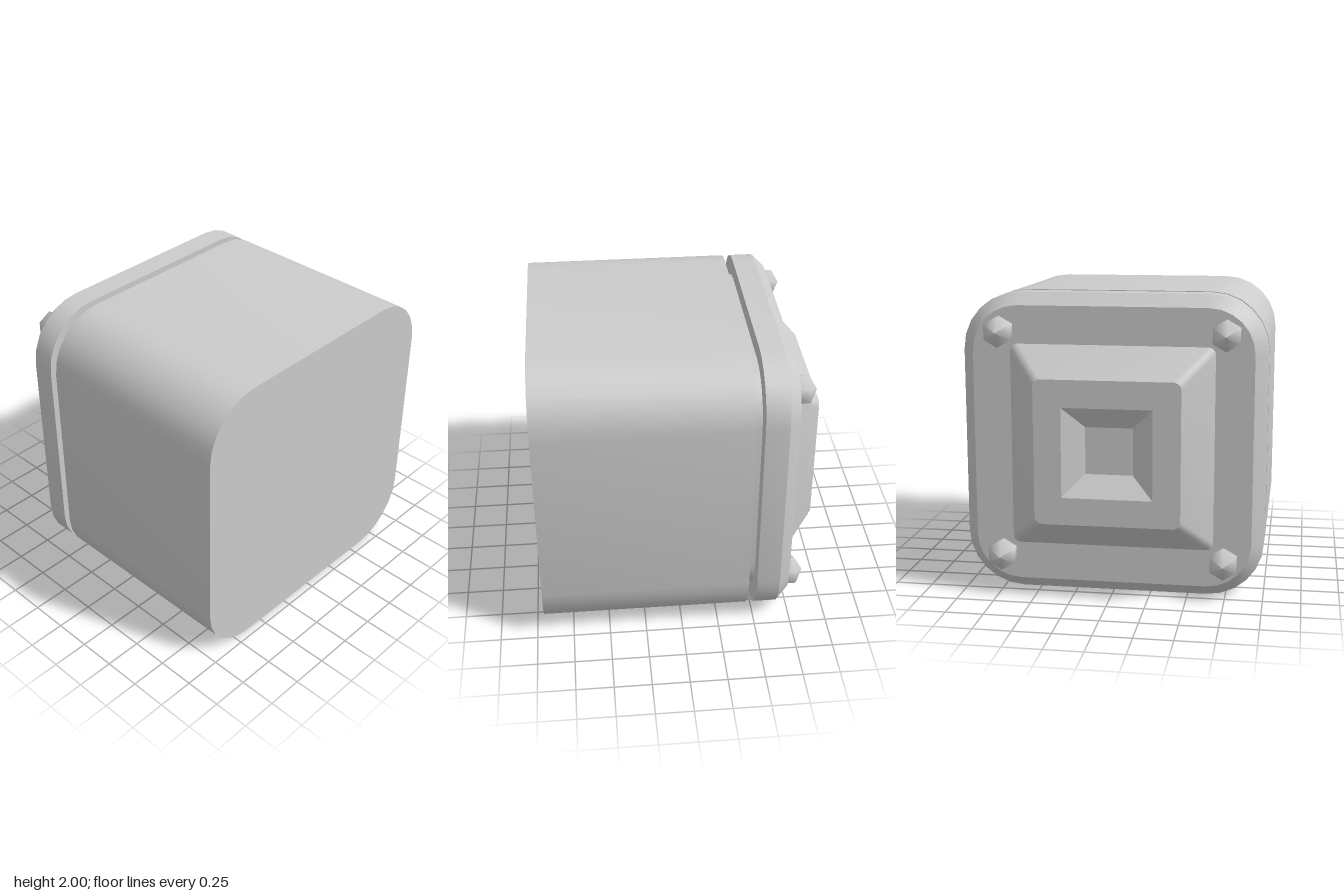
import * as THREE from 'three';
import { toCreasedNormals } from 'three/addons/utils/BufferGeometryUtils.js';

const material = new THREE.MeshStandardMaterial({ color: 0xcccccc });
const CORNER_STEPS = 6;

// Counter-clockwise rounded square outline, half-size h and corner radius r
function roundedSquare(h, r) {
  const points = [];
  for (let corner = 0; corner < 4; corner++) {
    const mid = (corner + 0.5) * Math.PI / 2;
    const cx = Math.sign(Math.cos(mid)) * (h - r);
    const cy = Math.sign(Math.sin(mid)) * (h - r);
    for (let i = 0; i <= CORNER_STEPS; i++) {
      const a = (corner + i / CORNER_STEPS) * Math.PI / 2;
      points.push([cx + r * Math.cos(a), cy + r * Math.sin(a)]);
    }
  }
  return points;
}

// Closed solid through sections of [half-size, corner radius, z]
function loft(sections) {
  const positions = [];
  const index = [];
  const n = 4 * (CORNER_STEPS + 1);
  for (const [h, r, z] of sections) {
    for (const [x, y] of roundedSquare(h, r)) positions.push(x, y, z);
  }
  const last = sections.length - 1;
  const startCentre = n * sections.length;
  positions.push(0, 0, sections[0][2], 0, 0, sections[last][2]);
  for (let i = 0; i < n; i++) {
    const j = (i + 1) % n;
    for (let s = 0; s < last; s++) {
      const a = s * n + i, b = s * n + j;
      index.push(a, b, b + n, a, b + n, a + n);
    }
    index.push(startCentre, j, i, startCentre + 1, last * n + i, last * n + j);
  }
  const geometry = new THREE.BufferGeometry();
  geometry.setAttribute('position', new THREE.Float32BufferAttribute(positions, 3));
  geometry.setIndex(index);
  return toCreasedNormals(geometry, 0.5);
}

export function createModel() {
  const model = new THREE.Group();
  model.name = 'casing';

  // Built with the lid towards +z, then turned so the lid is at the back
  const assembly = new THREE.Group();
  assembly.name = 'casingAssembly';
  assembly.position.y = 1;
  assembly.rotation.y = Math.PI;
  model.add(assembly);

  const add = (name, geometry) => {
    const mesh = new THREE.Mesh(geometry, material);
    mesh.name = name;
    assembly.add(mesh);
    return mesh;
  };

  // Main block, recessed seam and chamfered lid
  add('body', loft([[1, 0.38, -0.95], [1, 0.38, 0.45]]));
  add('seam', loft([[0.885, 0.33, 0.44], [0.885, 0.33, 0.52]]));
  add('lid', loft([[1, 0.38, 0.505], [1, 0.38, 0.66], [0.92, 0.3, 0.74]]));

  // Raised tapered boss with a sunken tapered pocket
  add('boss', loft([
    [0.675, 0.05, 0.735], [0.475, 0.05, 0.955], [0.295, 0, 0.955], [0.155, 0, 0.855],
  ]));

  // Six-sided bolts with pointed heads in the lid corners
  const boltProfile = [[0.1, 0], [0.1, 0.08], [0, 0.135]].map(([x, y]) => new THREE.Vector2(x, y));
  const boltGeometry = new THREE.LatheGeometry(boltProfile, 6).rotateX(Math.PI / 2);
  for (const x of [-1, 1]) {
    for (const y of [-1, 1]) {
      const bolt = add(`${y > 0 ? 'upper' : 'lower'}${x < 0 ? 'Left' : 'Right'}Bolt`, boltGeometry);
      bolt.position.set(x * 0.74, y * 0.75, 0.73);
    }
  }
  return model;
}
